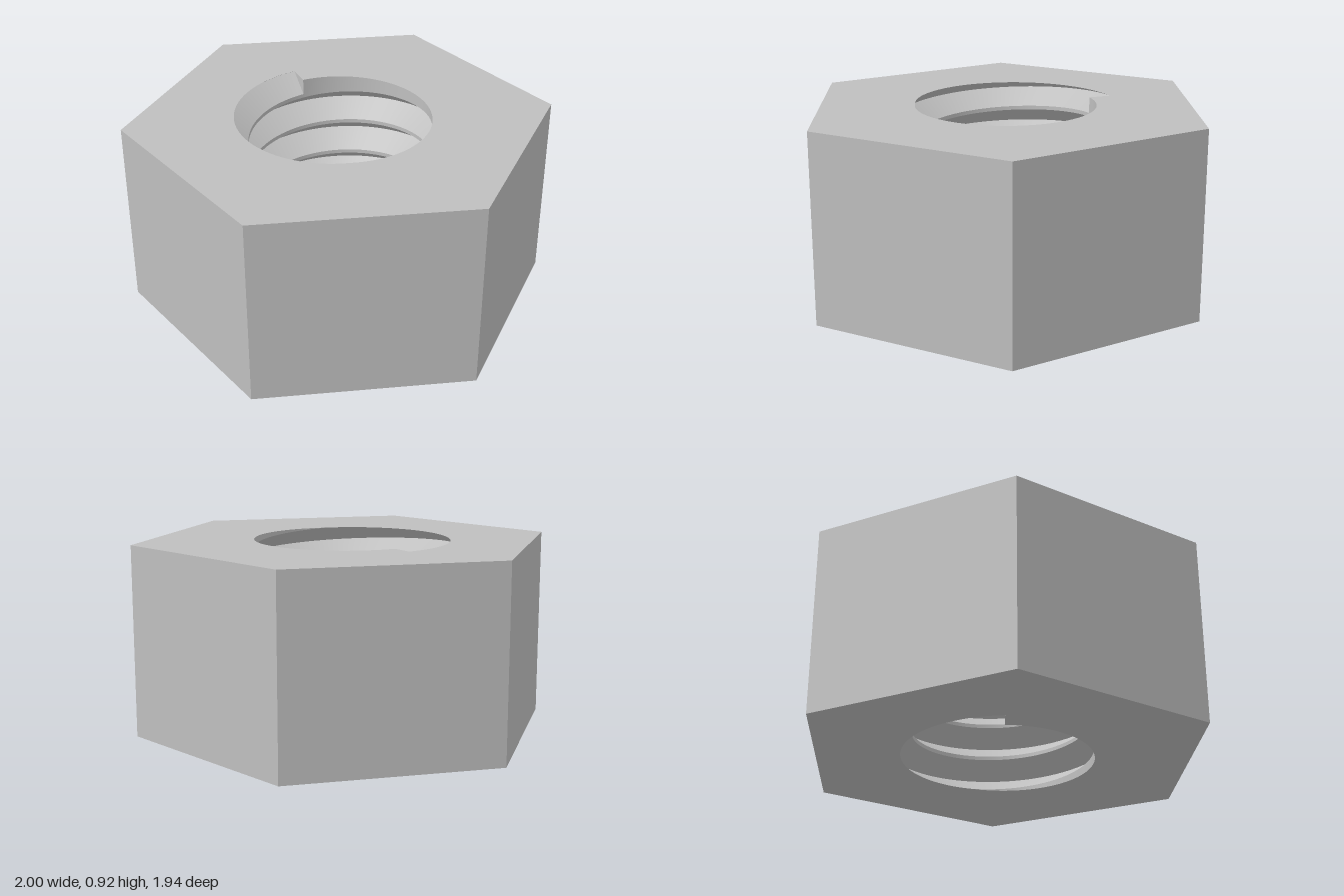
import * as THREE from 'three';

const H = 0.92;              // nut height
const HEX_R = 1.0214;        // hexagon corner radius
const BORE = 0.435, ROOT = 0.545; // thread crest and root radii
const N = 144;               // segments per thread turn
const TOTAL = 5 * N + 28;    // thread segments from bottom to top
const HALF = 0.079;          // half width of the V groove
const END_ANGLE = THREE.MathUtils.degToRad(264);

// Height of the groove centre and its angle at segment i
const centre = i => H * i / TOTAL;
const angle = i => END_ANGLE + (i - TOTAL) / N * Math.PI * 2;
const radius = (i, y) => BORE + (ROOT - BORE) * Math.max(0, 1 - Math.abs(y - centre(i)) / HALF);
const point = (i, r, y) => [r * Math.cos(angle(i)), y, r * Math.sin(angle(i))];

function geometry(positions, index) {
  const g = new THREE.BufferGeometry();
  g.setAttribute('position', new THREE.Float32BufferAttribute(positions, 3));
  if (index) g.setIndex(index);
  g.computeVertexNormals();
  return g;
}

// Helical strip facing the axis between two height rules, clipped to the nut
function band(from, to, low, high) {
  const pos = [], idx = [], gap = [];
  for (let i = from; i <= to; i++) {
    const ys = [low(i), high(i)].map(y => THREE.MathUtils.clamp(y, 0, H));
    gap.push(ys[1] - ys[0]);
    for (const y of ys) pos.push(...point(i, radius(i, y), y));
  }
  for (let k = 0; k < to - from; k++) {
    const a = 2 * k;
    if (gap[k + 1] > 1e-6) idx.push(a, a + 2, a + 3);
    if (gap[k] > 1e-6) idx.push(a, a + 3, a + 1);
  }
  return geometry(pos, idx);
}

// Hexagonal face whose hole follows the thread where it runs out
function endFace(first, y, flip) {
  const corners = [], hole = [];
  for (let k = 0; k < 6; k++) {
    const t = THREE.MathUtils.degToRad(18.26 + 60 * k);
    corners.push(new THREE.Vector2(HEX_R * Math.sin(t), flip * HEX_R * Math.cos(t)));
  }
  for (let i = first; i <= first + N; i++) {
    const [x, , z] = point(i, radius(i, y), y);
    hole.push(new THREE.Vector2(x, flip * z));
  }
  const shape = new THREE.Shape(corners);
  shape.holes.push(new THREE.Path(hole));
  return new THREE.ShapeGeometry(shape).rotateX(flip * Math.PI / 2).translate(0, y, 0);
}

export function createModel() {
  const group = new THREE.Group();
  group.name = 'hexNut';
  const steel = new THREE.MeshStandardMaterial({ color: 0xbfbfbf, side: THREE.DoubleSide });
  steel.name = 'steel';
  const add = (name, g) => {
    const mesh = new THREE.Mesh(g, steel);
    mesh.name = name;
    group.add(mesh);
  };

  // Six flat outer sides
  const sides = new THREE.CylinderGeometry(HEX_R, HEX_R, H, 6, 1, true, THREE.MathUtils.degToRad(18.26))
    .toNonIndexed().translate(0, H / 2, 0);
  sides.computeVertexNormals();
  add('hexSides', sides);

  // Top and bottom faces
  add('topFace', endFace(TOTAL - N, H, -1));
  add('bottomFace', endFace(0, 0, 1));

  // Thread groove flanks
  add('threadLowerFlank', band(0, TOTAL, i => centre(i) - HALF, centre));
  add('threadUpperFlank', band(0, TOTAL, centre, i => centre(i) + HALF));

  // Narrow crests between turns, and the plain bore beyond each thread end
  add('threadCrest', band(0, TOTAL - N, i => centre(i) + HALF, i => centre(i + N) - HALF));
  add('boreTop', band(TOTAL - N, TOTAL, i => centre(i) + HALF, () => H));
  add('boreBottom', band(0, N, () => 0, i => centre(i) - HALF));

  // Flat ends of the groove
  add('threadStart', geometry([
    ...point(0, BORE, 0), ...point(0, ROOT, 0), ...point(0, BORE, HALF)]));
  add('threadEnd', geometry([
    ...point(TOTAL, BORE, H - HALF), ...point(TOTAL, BORE, H), ...point(TOTAL, ROOT, H)]));

  return group;
}
